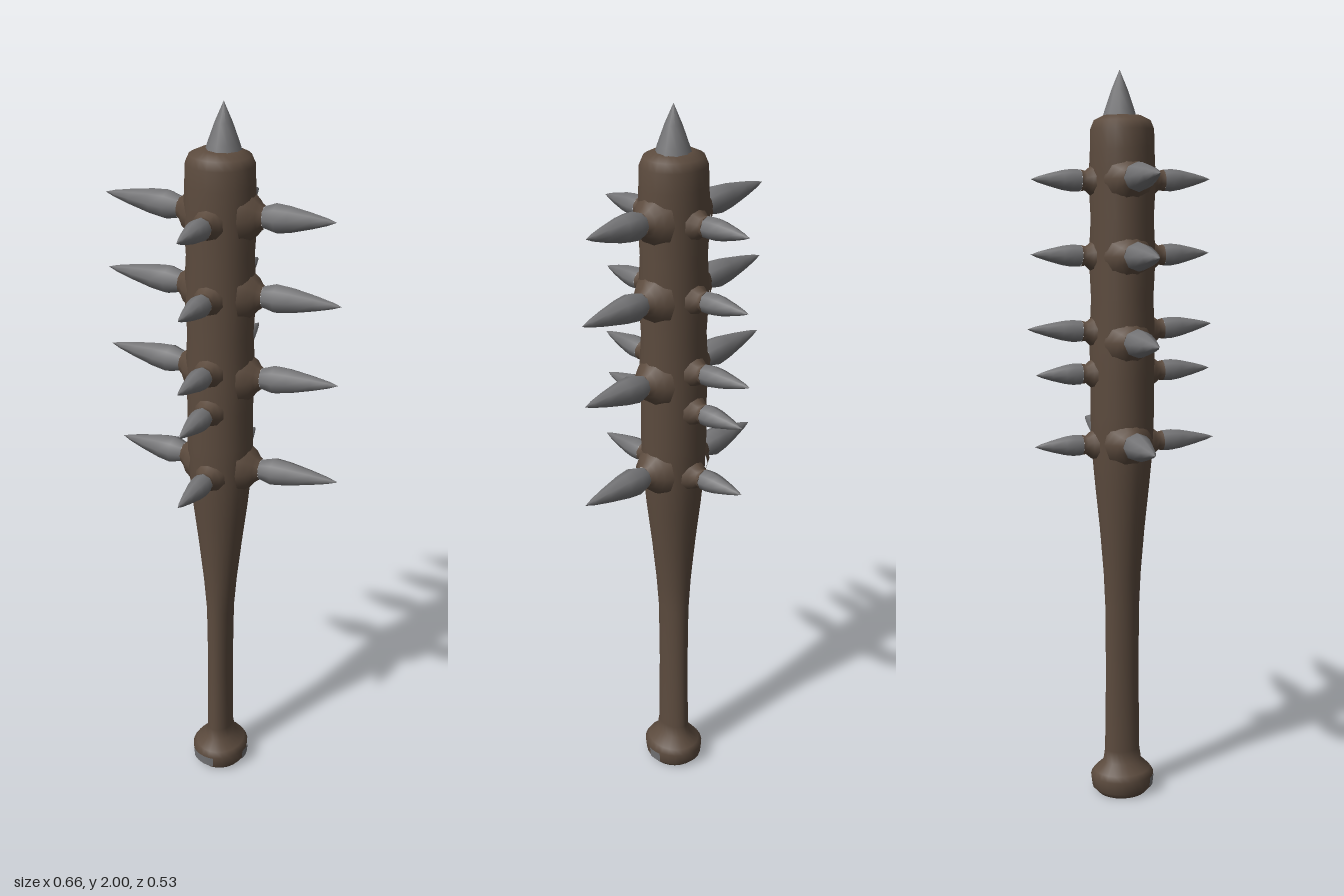
import * as THREE from 'three';
import { mergeVertices } from 'three/addons/utils/BufferGeometryUtils.js';

const wood = new THREE.MeshStandardMaterial({ color: 0x5c4b3e });
wood.name = 'dark wood';
const iron = new THREE.MeshStandardMaterial({ color: 0x747476 });
iron.name = 'grey iron';

// Smooth turned shape from [radius, y] pairs, bottom to top.
function turned(profile, sides) {
  return new THREE.LatheGeometry(profile.map(([r, y]) => new THREE.Vector2(r, y)), sides);
}

// Oval turned shape from [y, radiusX, radiusZ] rings.
function ovalTurned(rings, sides) {
  const g = turned(rings.map(([y, rx]) => [rx, y]), sides);
  const p = g.attributes.position;
  for (let i = 0; i < p.count; i++) {
    const [, rx, rz] = rings[i % rings.length];
    if (rx > 0) p.setZ(i, p.getZ(i) * rz / rx);
  }
  g.deleteAttribute('uv');
  g.deleteAttribute('normal');
  const merged = mergeVertices(g, 1e-5);
  merged.computeVertexNormals();
  return merged;
}

function mesh(name, geometry, material) {
  const m = new THREE.Mesh(geometry, material);
  m.name = name;
  return m;
}

// Spike on a flared wooden socket, pointing from the club's axis to its tip.
function spike(name, baseY, tip, width, flare) {
  const group = new THREE.Group();
  group.name = name;
  const dir = new THREE.Vector3(tip[0], tip[1] - baseY, tip[2]);
  const len = dir.length();
  const start = 0.115;
  const socket = [[flare, 0.066], [flare * 0.8, 0.088], [flare * 0.55, 0.102], [0.028, start]];
  const at = (t) => start + (len - start) * t;
  const point = [[0.028, start], [width, at(0.17)], [width * 0.88, at(0.36)],
    [width * 0.55, at(0.65)], [width * 0.25, at(0.87)], [0, len]];
  group.add(mesh('spikeSocket', turned(socket, 10), wood));
  group.add(mesh('spikePoint', turned(point, 8), iron));
  group.position.y = baseY;
  group.quaternion.setFromUnitVectors(new THREE.Vector3(0, 1, 0), dir.normalize());
  return group;
}

export function createModel() {
  const club = new THREE.Group();
  club.name = 'spikedClub';

  // Body: hollowed pommel, oval grip, tapering barrel and rounded end.
  const body = mesh('clubBody', ovalTurned([
    [0.025, 0, 0], [0.02, 0.035, 0.037], [0.003, 0.045, 0.048], [0.003, 0.066, 0.07],
    [0.02, 0.078, 0.086], [0.055, 0.081, 0.09], [0.07, 0.07, 0.08], [0.095, 0.042, 0.055],
    [0.13, 0.036, 0.05], [0.35, 0.034, 0.047], [0.55, 0.037, 0.048], [0.65, 0.046, 0.052],
    [0.78, 0.061, 0.062], [0.9, 0.076, 0.074], [1.0, 0.086, 0.083], [1.1, 0.09, 0.086],
    [1.2, 0.088, 0.086], [1.3, 0.093, 0.088], [1.41, 0.087, 0.083], [1.52, 0.094, 0.088],
    [1.62, 0.088, 0.083], [1.72, 0.094, 0.088], [1.8, 0.09, 0.084], [1.85, 0.088, 0.083],
    [1.872, 0.078, 0.074], [1.885, 0.05, 0.048], [1.888, 0, 0],
  ], 24), wood);
  body.position.x = -0.004;
  club.add(body);

  // Worn metallic patches on the pommel.
  for (const [angle, span] of [[-0.3, 0.95], [Math.PI / 2, 0.45]]) {
    const patch = mesh('pommelPatch', new THREE.LatheGeometry([
      new THREE.Vector2(0.0815, 0.022), new THREE.Vector2(0.0845, 0.054),
    ], 8, angle - span / 2, span), iron);
    patch.scale.z = 1.08;
    patch.position.x = -0.004;
    club.add(patch);
  }

  // Long side spikes: [direction, base height, reach, tip height].
  const sides = [
    [-1, 1.72, 0.33, 1.737], [-1, 1.523, 0.33, 1.535], [-1, 1.297, 0.33, 1.317], [-1, 1.025, 0.305, 1.04],
    [1, 1.722, 0.3, 1.738], [1, 1.52, 0.322, 1.526], [1, 1.288, 0.322, 1.312], [1, 1.025, 0.332, 1.034],
  ];
  for (const [s, y, reach, tipY] of sides) {
    club.add(spike(s < 0 ? 'rightSpike' : 'leftSpike', y, [s * reach, tipY, -0.008], 0.038, 0.068));
  }

  // Shorter front and back spikes.
  const ends = [
    [1, 1.716, 0.245, 1.722], [1, 1.52, 0.245, 1.527], [1, 1.318, 0.255, 1.336], [1, 1.21, 0.25, 1.214], [1, 1.015, 0.265, 1.02],
    [-1, 1.716, 0.247, 1.722], [-1, 1.52, 0.25, 1.53], [-1, 1.318, 0.262, 1.336], [-1, 1.21, 0.24, 1.213], [-1, 1.015, 0.245, 1.02],
  ];
  for (const [s, y, reach, tipY] of ends) {
    club.add(spike(s > 0 ? 'frontSpike' : 'backSpike', y, [-0.005, tipY, s * reach], 0.029, 0.046));
  }

  // Crowning spike.
  const crown = mesh('topSpike', turned([[0.047, 1.878], [0.04, 1.9], [0.022, 1.95], [0, 2]], 10), iron);
  crown.position.set(0.003, 0, -0.005);
  club.add(crown);

  return club;
}
